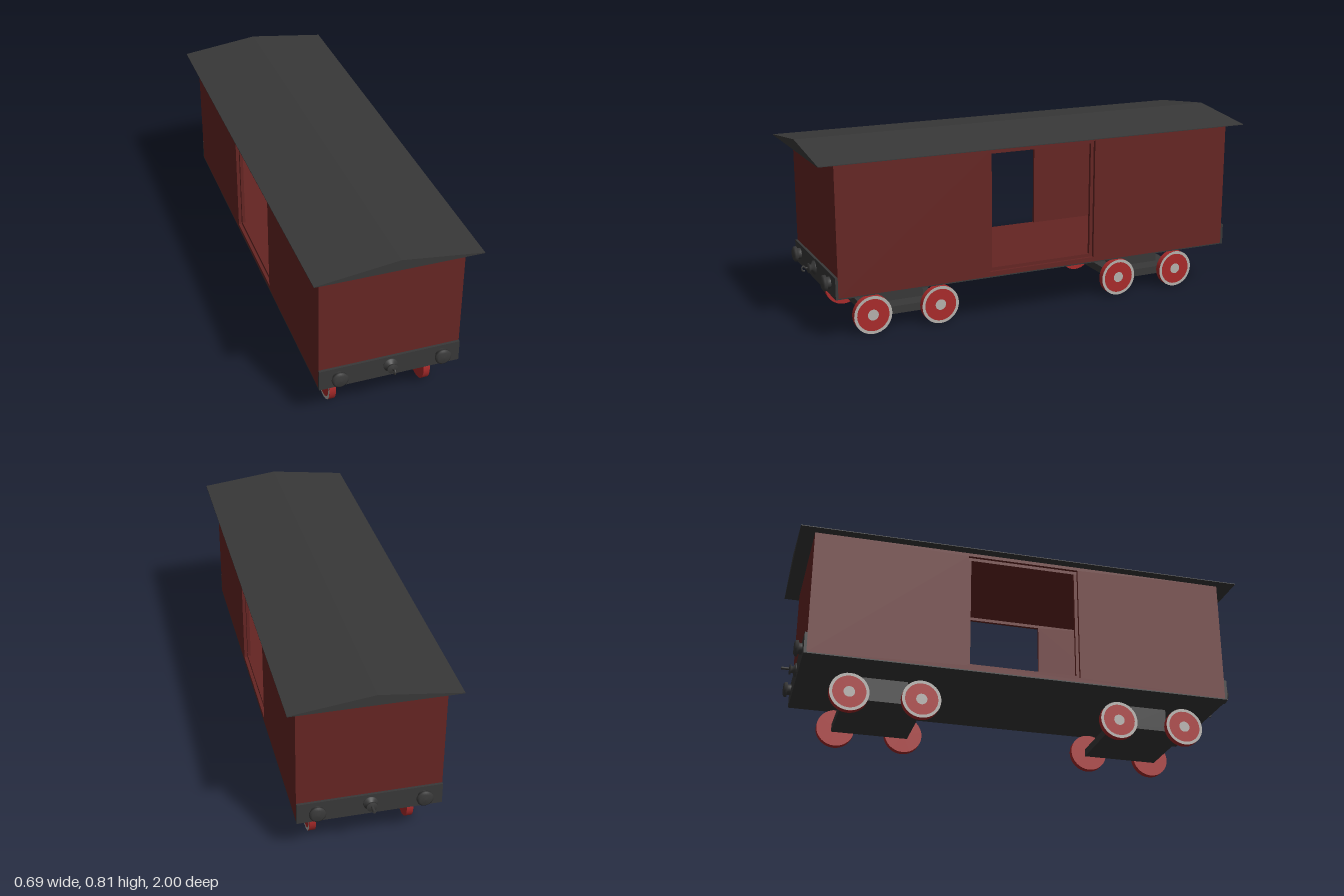
import * as THREE from 'three';

const mat = (color) => new THREE.MeshStandardMaterial({ color });
const dark = mat(0x383838);
const bodyRed = mat(0x652523);
const wheelRed = mat(0xa82a2a);
const steel = mat(0xb4b0ac);

function add(parent, name, geometry, material, x = 0, y = 0, z = 0) {
  const mesh = new THREE.Mesh(geometry, material);
  mesh.name = name;
  mesh.position.set(x, y, z);
  parent.add(mesh);
}

const box = (w, h, d) => new THREE.BoxGeometry(w, h, d);

// Side wall layer in the z-y plane with a rectangular door opening
function wallLayer(thickness, doorHalf, doorBottom, doorTop) {
  const rect = (path, hw, y0, y1) =>
    path.moveTo(-hw, y0).lineTo(hw, y0).lineTo(hw, y1).lineTo(-hw, y1).closePath();
  const shape = new THREE.Shape();
  rect(shape, 0.925, 0.205, 0.77);
  const hole = new THREE.Path();
  rect(hole, doorHalf, doorBottom, doorTop);
  shape.holes.push(hole);
  const g = new THREE.ExtrudeGeometry(shape, { depth: thickness, bevelEnabled: false });
  return g.translate(0, 0, -thickness / 2).rotateY(Math.PI / 2);
}

// Wheel whose outer face points along +x
function wheel() {
  const g = new THREE.Group();
  g.name = 'wheel';
  const disc = new THREE.CylinderGeometry(0.084, 0.084, 0.028, 32).rotateZ(-Math.PI / 2);
  add(g, 'wheelDisc', disc, wheelRed);
  add(g, 'wheelRim', new THREE.RingGeometry(0.071, 0.084, 32).rotateY(Math.PI / 2), steel, 0.0148);
  add(g, 'wheelHub', new THREE.CircleGeometry(0.024, 24).rotateY(Math.PI / 2), steel, 0.0148);
  return g;
}

function bogie(z) {
  const g = new THREE.Group();
  g.name = 'bogie';
  g.position.z = z;
  add(g, 'bogieBlock', box(0.236, 0.11, 0.22), dark, 0, 0.147, 0);
  add(g, 'bogiePlate', box(0.388, 0.034, 0.34), dark, 0, 0.081, 0);
  for (const dz of [-0.152, 0.152]) {
    for (const side of [-1, 1]) {
      const w = wheel();
      w.position.set(side * 0.208, 0.084, dz);
      if (side < 0) w.rotation.y = Math.PI;
      g.add(w);
    }
  }
  return g;
}

// Round part turned about the z axis, from [radius, z] pairs
function turned(points) {
  return new THREE.LatheGeometry(points.map(([r, z]) => new THREE.Vector2(r, z)), 24).rotateX(Math.PI / 2);
}

// Beam, bumpers and coupler for one end, facing +z
function endGear() {
  const g = new THREE.Group();
  g.name = 'endGear';
  add(g, 'endBeam', box(0.6, 0.094, 0.012), dark, 0, 0.248, 0.93);
  const bumperGeo = turned([[0.024, 0], [0.024, 0.016], [0.034, 0.018], [0.034, 0.028], [0.025, 0.034], [0, 0.036]]);
  for (const x of [-0.22, 0.22]) add(g, 'bumper', bumperGeo, dark, x, 0.254, 0.935);
  const bossGeo = turned([[0.03, 0], [0.03, 0.006], [0.015, 0.014], [0.015, 0.022], [0.022, 0.024], [0.022, 0.03], [0, 0.032]]);
  add(g, 'couplerBoss', bossGeo, dark, 0, 0.254, 0.935);
  return g;
}

export function createModel() {
  const model = new THREE.Group();
  model.name = 'boxcar';

  // Underframe and red interior
  add(model, 'underframe', box(0.6, 0.005, 1.85), dark, 0, 0.2035, 0);
  add(model, 'floor', box(0.56, 0.034, 1.81), bodyRed, 0, 0.223, 0);
  add(model, 'ceiling', box(0.56, 0.015, 1.81), bodyRed, 0, 0.762, 0);

  // Side walls: outer skin with a slightly narrower door frame behind it
  for (const s of [-1, 1]) {
    add(model, 'sideWall', wallLayer(0.014, 0.25, 0.226, 0.754), bodyRed, s * 0.293);
    add(model, 'doorFrame', wallLayer(0.014, 0.236, 0.24, 0.74), bodyRed, s * 0.279);
    add(model, 'endWall', box(0.56, 0.565, 0.025), bodyRed, 0, 0.4875, s * 0.9125);
  }

  // Shallow gabled roof with thin eaves
  const gable = new THREE.Shape()
    .moveTo(-0.343, 0.769).lineTo(0.343, 0.769).lineTo(0.343, 0.772).lineTo(0, 0.815).lineTo(-0.343, 0.772);
  const roofGeo = new THREE.ExtrudeGeometry(gable, { depth: 1.99, bevelEnabled: false });
  add(model, 'roof', roofGeo, dark, 0, 0, -0.99);

  // End gear
  const front = endGear();
  const back = endGear();
  back.rotation.y = Math.PI;
  model.add(front, back);

  // Curled hook at the front, straight pin at the back
  const hookPath = new THREE.CatmullRomCurve3([
    [0.96, 0.256], [0.975, 0.256], [0.984, 0.265], [0.991, 0.258], [0.988, 0.246], [0.98, 0.243],
  ].map(([z, y]) => new THREE.Vector3(0, y, z)));
  add(model, 'couplerHook', new THREE.TubeGeometry(hookPath, 24, 0.004, 8), dark);
  add(model, 'couplerPin', new THREE.CylinderGeometry(0.006, 0.006, 0.045, 12).rotateX(Math.PI / 2),
    dark, 0, 0.257, -0.9775);

  // Running gear
  model.add(bogie(0.602), bogie(-0.578));
  return model;
}
